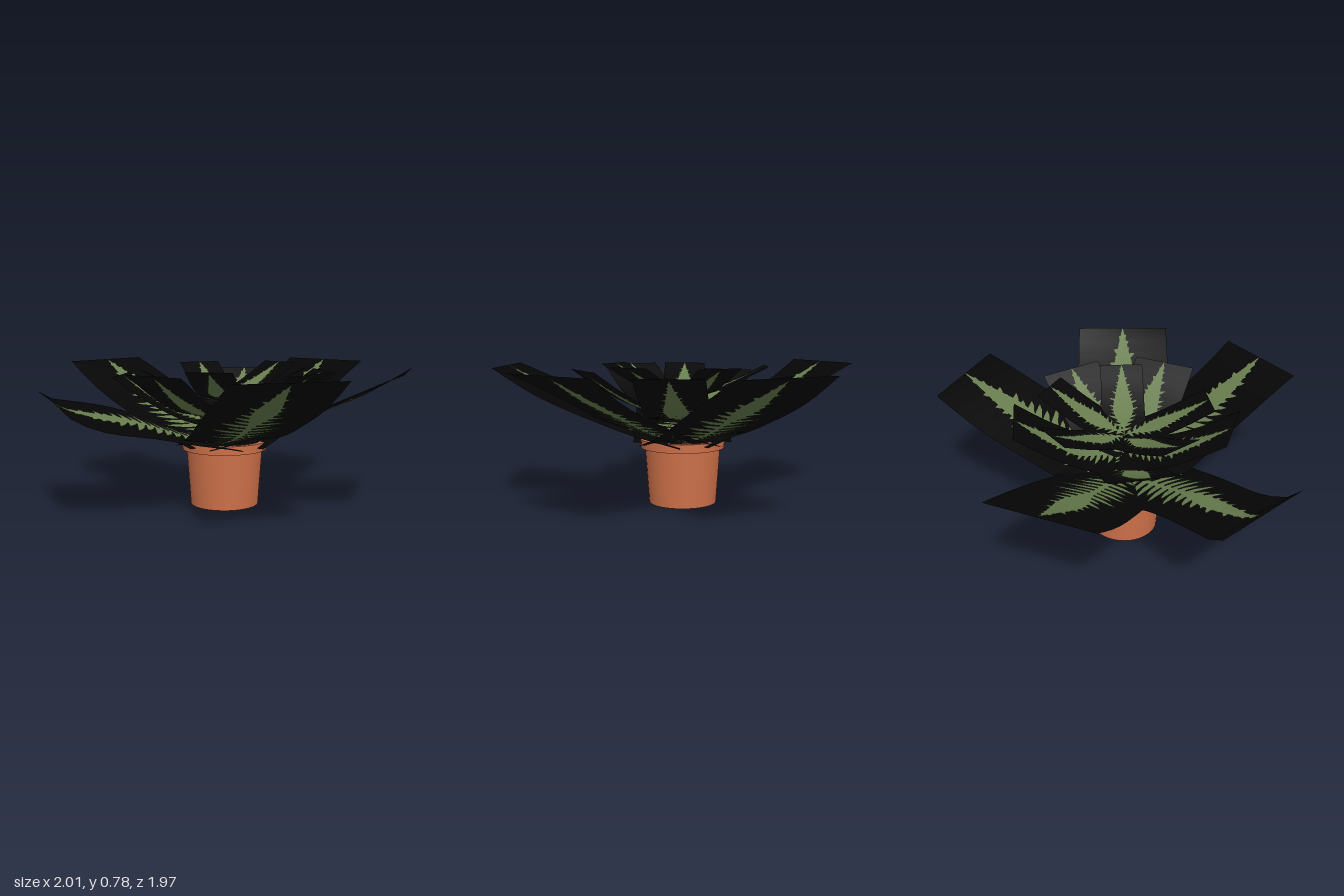
import * as THREE from 'three';

const mat = (name, color, side = THREE.FrontSide) => {
  const m = new THREE.MeshStandardMaterial({ color, side });
  m.name = name;
  return m;
};

// Leaf surface: height by distance from the centre, with a slight twist midway
function leafSurface(points, twist) {
  const samples = new THREE.CatmullRomCurve3(
    points.map(([r, y]) => new THREE.Vector3(r, y, 0))).getPoints(60);
  const length = points[points.length - 1][0];
  return (u, v) => {
    let i = 1;
    while (i < samples.length - 1 && samples[i].x < u) i++;
    const a = samples[i - 1], b = samples[i];
    const y = a.y + (b.y - a.y) * (u - a.x) / (b.x - a.x);
    return y + twist * v * Math.sin(Math.PI * (u / length) ** 1.8);
  };
}

// Bent rectangular card running out along +x
function cardGeometry(length, halfWidth, surface) {
  const g = new THREE.PlaneGeometry(length, halfWidth * 2, 12, 2);
  g.rotateX(-Math.PI / 2).translate(length / 2, 0, 0);
  const p = g.attributes.position;
  for (let i = 0; i < p.count; i++) p.setY(i, surface(Math.max(0, p.getX(i)), p.getZ(i)));
  g.computeVertexNormals();
  return g;
}

// Fern frond: a blade that fills in toward the tip, with swept leaflets
function frondGeometry(length, halfWidth, surface, fill, lift) {
  const pos = [];
  const put = (u, v) => {
    const c = Math.min(Math.max(u, 0), length);
    pos.push(c, surface(c, v) + lift, v);
  };
  const tri = (a, b, c) => { put(...a); put(...b); put(...c); };
  const quad = (a, b, c, d) => { tri(a, b, c); tri(a, c, d); };
  const spread = (t) => halfWidth * 0.62 * Math.min(1, (1 - t) / 0.58) * Math.min(1, 0.4 + 2.4 * t);

  // Blade along the midrib
  const n = 24;
  const blade = (t) => spread(t) * THREE.MathUtils.lerp(0.1, 0.74, THREE.MathUtils.smoothstep(t, ...fill));
  for (let i = 0; i < n; i++) {
    const t0 = i / n, t1 = (i + 1) / n;
    quad([t0 * length, blade(t0)], [t1 * length, blade(t1)],
      [t1 * length, -blade(t1)], [t0 * length, -blade(t0)]);
  }
  // Leaflets, close together toward the tip
  const pairs = 18;
  for (let i = 0; i < pairs; i++) {
    const t = 0.06 + 0.91 * (i / pairs) ** 0.92;
    for (const s of [-1, 1]) {
      const reach = spread(t) * (0.95 + 0.2 * Math.sin(i * 2.7 + s));
      const w = length * 0.027;
      const u = t * length + s * w * 0.2;
      const sweep = reach * 0.3;
      quad([u - w * 0.7, 0], [u - w * 0.75 + sweep * 0.4, s * reach * 0.45],
        [u + w * 0.75 + sweep * 0.4, s * reach * 0.45], [u + w * 0.9, 0]);
      quad([u - w * 0.75 + sweep * 0.4, s * reach * 0.45], [u - w * 0.3 + sweep * 0.8, s * reach * 0.82],
        [u + w * 0.5 + sweep * 0.8, s * reach * 0.82], [u + w * 0.75 + sweep * 0.4, s * reach * 0.45]);
      tri([u - w * 0.3 + sweep * 0.8, s * reach * 0.82], [u + sweep + w * 0.3, s * reach],
        [u + w * 0.5 + sweep * 0.8, s * reach * 0.82]);
    }
  }
  const g = new THREE.BufferGeometry();
  g.setAttribute('position', new THREE.Float32BufferAttribute(pos, 3));
  g.computeVertexNormals();
  return g;
}

export function createModel() {
  const terracotta = mat('terracotta', 0xd0724a);
  const soilBrown = mat('soil brown', 0x3a2a1e);
  const cardBlack = mat('card black', 0x050505, THREE.DoubleSide);
  const fernGreen = mat('fern green', 0x687d4e, THREE.DoubleSide);

  const model = new THREE.Group();
  model.name = 'pottedFern';
  const plant = new THREE.Group();
  plant.name = 'plant';
  plant.position.set(-0.013, 0, 0.011);
  model.add(plant);

  const add = (name, geometry, material, parent = plant) => {
    const m = new THREE.Mesh(geometry, material);
    m.name = name;
    parent.add(m);
    return m;
  };

  // Pot: tapered wall, collar and inside, with hard edges between bands
  const bands = [
    ['potBase', [[0, 0], [0.188, 0]]],
    ['potWall', [[0.188, 0], [0.21, 0.31]]],
    ['collarUnderside', [[0.21, 0.31], [0.232, 0.31]]],
    ['collar', [[0.232, 0.31], [0.235, 0.358]]],
    ['rim', [[0.235, 0.358], [0.205, 0.358]]],
    ['potInside', [[0.205, 0.358], [0.2, 0.31]]],
  ];
  for (const [name, pts] of bands) {
    add(name, new THREE.LatheGeometry(pts.map((p) => new THREE.Vector2(...p)), 40), terracotta);
  }
  add('soil', new THREE.CircleGeometry(0.203, 40).rotateX(-Math.PI / 2), soilBrown).position.y = 0.325;

  // Nested bowls of leaf cards: places hold [angle in degrees from +x, height offset]
  const rings = [
    { name: 'outerFrond', halfWidth: 0.274, twist: 0.09, fill: [0.42, 0.75],
      profile: [[0, 0.335], [0.25, 0.412], [0.5, 0.52], [0.75, 0.635], [0.98, 0.757]],
      places: [[85.3, 0], [18.5, 0.002], [-36.5, 0.004], [176, 0.006]] },
    { name: 'droopingFrond', halfWidth: 0.274, twist: 0.165, fill: [0.42, 0.75],
      profile: [[0, 0.335], [0.25, 0.395], [0.5, 0.475], [0.75, 0.53], [0.9, 0.58], [0.975, 0.645]],
      places: [[-121.5, 0]] },
    { name: 'middleFrond', halfWidth: 0.178, twist: 0, fill: [0.15, 0.55],
      profile: [[0, 0.465], [0.2, 0.51], [0.4, 0.61], [0.582, 0.735]],
      places: [[114, -0.02], [50, -0.005], [-6, 0.015], [-90, 0.012], [-150, -0.023]] },
    { name: 'innerFrond', halfWidth: 0.12, twist: 0, fill: [0, 0.4],
      profile: [[0, 0.585], [0.15, 0.625], [0.3, 0.685], [0.46, 0.765]],
      places: [[81, 0.004], [20, 0.006], [-63, 0], [-125, -0.012], [146, -0.004]] },
  ];
  for (const { name, halfWidth, twist, fill, profile, places } of rings) {
    const surface = leafSurface(profile, twist);
    const length = profile[profile.length - 1][0];
    const card = cardGeometry(length, halfWidth, surface);
    const top = frondGeometry(length, halfWidth, surface, fill, 0.006);
    const under = frondGeometry(length, halfWidth, surface, fill, -0.006);
    places.forEach(([angle, offset], i) => {
      const frond = new THREE.Group();
      frond.name = name + (i + 1);
      frond.rotation.y = THREE.MathUtils.degToRad(angle);
      frond.position.y = offset;
      add('card', card, cardBlack, frond);
      add('leafTop', top, fernGreen, frond);
      add('leafUnderside', under, fernGreen, frond);
      plant.add(frond);
    });
  }
  return model;
}
